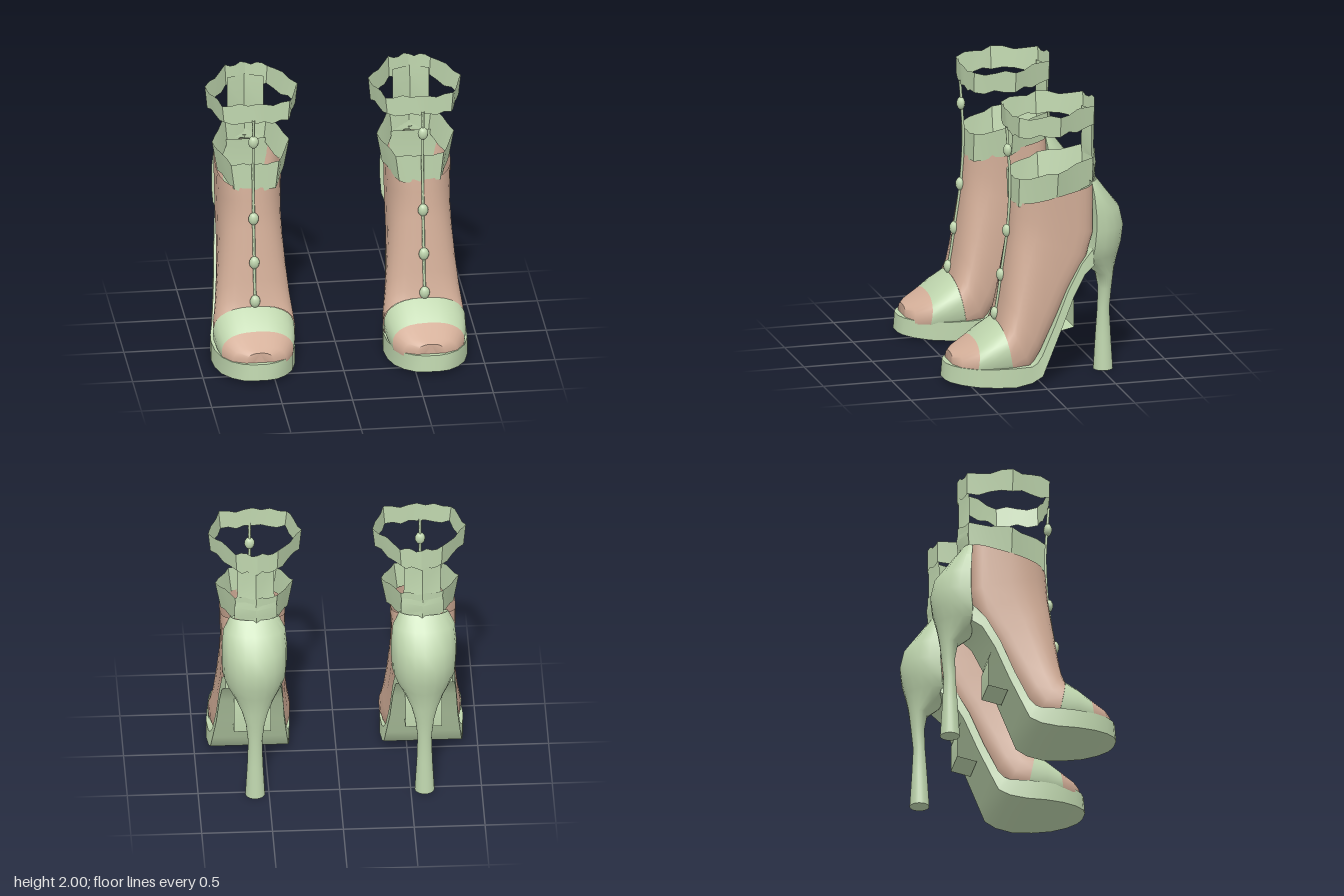
import * as THREE from 'three';
import { toCreasedNormals } from 'three/addons/utils/BufferGeometryUtils.js';

const mat = (name, color) => {
  const m = new THREE.MeshStandardMaterial({ color, side: THREE.DoubleSide });
  m.name = name;
  return m;
};

// Joins rings of points into a skin; caps close the ends
function loft(rings, { closed = true, capStart = false, capEnd = false, crease = 0.7 } = {}) {
  const n = rings[0].length, pos = [], idx = [];
  rings.forEach(r => r.forEach(p => pos.push(...p)));
  for (let i = 0; i < rings.length - 1; i++) {
    for (let j = 0; j < (closed ? n : n - 1); j++) {
      const a = i * n + j, b = i * n + (j + 1) % n;
      idx.push(a, b, a + n, b, b + n, a + n);
    }
  }
  const cap = (start, flip) => {
    for (let j = 1; j < n - 1; j++) {
      idx.push(start, start + (flip ? j + 1 : j), start + (flip ? j : j + 1));
    }
  };
  if (capStart) cap(0, true);
  if (capEnd) cap((rings.length - 1) * n, false);
  const g = new THREE.BufferGeometry();
  g.setAttribute('position', new THREE.Float32BufferAttribute(pos, 3));
  g.setIndex(idx);
  return toCreasedNormals(g, crease);
}

// Tilted ring between a front point and a back point; e squares off the back half
function upperRing([fz, fy, bz, by, w, e]) {
  return Array.from({ length: 28 }, (_, j) => {
    const t = j / 28 * Math.PI * 2, c = Math.cos(t), s = Math.sin(t);
    const k = c < 0 ? e : 0.8;
    const u = Math.sign(c) * Math.abs(c) ** (c < 0 ? e : 0.9);
    const v = Math.sign(s) * Math.abs(s) ** k;
    return [v * w, (fy + by) / 2 + u * (fy - by) / 2, (fz + bz) / 2 + u * (fz - bz) / 2];
  });
}

// Horizontal heel ring, with separate depths in front of and behind its widest line
function heelRing([y, zc, zb, zf, w]) {
  return Array.from({ length: 20 }, (_, j) => {
    const t = j / 20 * Math.PI * 2, s = Math.sin(t);
    return [Math.cos(t) * w, y, zc + s * (s > 0 ? zf - zc : zc - zb)];
  });
}

// Thin faceted strap around the ankle with ragged edges
function raggedBand(half, low, high, lowScale, rag) {
  const loop = [...half, ...half.slice(1, -1).reverse().map(([x, z]) => [-x, z])];
  const bottom = [], top = [];
  loop.forEach(([x, z], i) => {
    const [x2, z2] = loop[(i + 1) % loop.length];
    for (let k = 0; k < 4; k++) {
      const px = x + (x2 - x) * k / 4, pz = z + (z2 - z) * k / 4, n = i * 4 + k;
      bottom.push([px * lowScale, low(pz) + rag * Math.sin(n * 2.3), pz]);
      top.push([px, high(pz) + rag * Math.sin(n * 1.9 + 1), pz]);
    }
  });
  return loft([bottom, top], { crease: 0.4 });
}

// Upper sections: front z, front y, back z, back y, half width, squareness
const UPPER = [
  [0.61, 0.22, 0.61, 0.08, 0.10, 0.75], [0.56, 0.245, 0.57, 0.05, 0.19, 0.75],
  [0.44, 0.31, 0.48, 0.04, 0.255, 0.75], [0.36, 0.375, 0.34, 0.04, 0.28, 0.75],
  [0.275, 0.43, 0.20, 0.04, 0.29, 0.7], [0.26, 0.5, 0.06, 0.08, 0.283, 0.65],
  [0.24, 0.62, -0.02, 0.2, 0.265, 0.6], [0.215, 0.8, -0.12, 0.4, 0.245, 0.55],
  [0.185, 1.0, -0.24, 0.66, 0.228, 0.45], [0.172, 1.1, -0.36, 0.88, 0.224, 0.4],
  [0.165, 1.2, -0.41, 1.06, 0.224, 0.4], [0.155, 1.29, -0.41, 1.42, 0.23, 0.4],
].map(upperRing);

// Sole sections: top z, top y, bottom z, bottom y, half width
const SOLE = [
  [0.65, 0.15, 0.66, 0.03, 0.05], [0.625, 0.148, 0.635, 0.025, 0.12],
  [0.57, 0.145, 0.57, 0.018, 0.19], [0.47, 0.14, 0.47, 0.01, 0.25],
  [0.34, 0.14, 0.34, 0.004, 0.285], [0.2, 0.14, 0.2, 0, 0.295],
  [0.08, 0.14, 0.08, 0.02, 0.285], [0.04, 0.16, 0.0, 0.06, 0.275],
  [0.0, 0.21, -0.05, 0.17, 0.262], [-0.1, 0.42, -0.14, 0.37, 0.24],
  [-0.2, 0.66, -0.24, 0.61, 0.225], [-0.3, 0.84, -0.33, 0.77, 0.21],
  [-0.39, 0.94, -0.40, 0.82, 0.19],
].map(([tz, ty, bz, by, w]) => [[-w, ty, tz], [w, ty, tz], [w, by, bz], [-w, by, bz]]);

// Heel sections: y, widest z, back z, front z, half width
const HEEL = [
  [1.43, -0.39, -0.455, -0.385, 0.17], [1.33, -0.40, -0.53, -0.395, 0.218],
  [1.2, -0.41, -0.63, -0.40, 0.23], [1.07, -0.41, -0.66, -0.40, 0.23],
  [0.95, -0.40, -0.645, -0.385, 0.222], [0.86, -0.39, -0.622, -0.345, 0.19],
  [0.79, -0.45, -0.606, -0.37, 0.14], [0.71, -0.52, -0.592, -0.465, 0.095],
  [0.6, -0.53, -0.58, -0.485, 0.066], [0.45, -0.52, -0.565, -0.48, 0.05],
  [0.25, -0.52, -0.575, -0.465, 0.056], [0, -0.52, -0.59, -0.45, 0.07],
].map(heelRing);

const COLLAR = [[0, 0.155], [0.17, 0.135], [0.275, -0.12], [0.15, -0.41], [0, -0.465]];
const CUFF = [[0, 0.185], [0.24, 0.155], [0.33, -0.125], [0.15, -0.42], [0, -0.465]];
const LACE = [[0.28, 0.43], [0.25, 0.6], [0.225, 0.78], [0.192, 1.0], [0.172, 1.2],
  [0.163, 1.45], [0.172, 1.62], [0.186, 1.83]];
const BEADS = [[0.275, 0.47], [0.232, 0.75], [0.188, 1.07], [0.18, 1.66]];

function createBoot(side, green, peach) {
  const boot = new THREE.Group();
  boot.name = side > 0 ? 'leftBoot' : 'rightBoot';
  const add = (name, geometry, material, x) => {
    const m = new THREE.Mesh(geometry, material);
    m.name = name;
    m.position.x = side * x;
    boot.add(m);
    return m;
  };

  // Foot and ankle
  add('toe', loft(UPPER.slice(0, 3), { capStart: true }), peach, 0.607);
  add('vampBand', loft(UPPER.slice(2, 5)), green, 0.607);
  add('shaft', loft(UPPER.slice(4)), peach, 0.602);

  // Platform sole rising into the arch, and the heel
  add('sole', loft(SOLE, { capStart: true, capEnd: true }), green, 0.612);
  add('heel', loft(HEEL, { capEnd: true }), green, 0.598);

  // Folded sheet under the arch
  const fold = [[-0.23, 0.68], [-0.27, 0.55], [-0.27, 0.36], [-0.13, 0.33]];
  add('archFold', loft(fold.map(([z, y]) => [[-0.13, y, z], [0.13, y, z]]),
    { closed: false, crease: 0.3 }), green, 0.605);

  // Collar, cuff and the strap joining them
  add('collar', raggedBand(COLLAR, z => 1.27 + (0.15 - z) * 0.22,
    z => 1.475 + (0.15 - z) * 0.23, 0.86, 0.008), green, 0.585);
  add('cuff', raggedBand(CUFF, z => 1.805 + (0.15 - z) * 0.04,
    z => 1.945 + (0.18 - z) * 0.065, 0.95, 0.013), green, 0.58);
  const strap = [1.42, 1.52, 1.62, 1.9].map((y, i) => {
    const z = [0, -0.012, 0.005, 0][i], w = [0.15, 0.15, 0.13, 0.13][i];
    return [[-w, y, -0.405 + z], [0, y, -0.46 + z], [w, y, -0.405 + z]];
  });
  add('backStrap', loft(strap, { closed: false }), green, 0.588);

  // Front lace and beads
  const path = new THREE.CatmullRomCurve3(LACE.map(([z, y]) => new THREE.Vector3(0, y, z)));
  add('lace', new THREE.TubeGeometry(path, 28, 0.01, 6), green, 0.602);
  BEADS.forEach(([z, y]) => {
    const bead = add('bead', new THREE.SphereGeometry(1, 10, 8), green, 0.602);
    bead.scale.set(0.037, 0.047, 0.03);
    bead.position.y = y;
    bead.position.z = z;
  });
  return boot;
}

export function createModel() {
  const model = new THREE.Group();
  model.name = 'bootPair';
  const green = mat('sageGreen', 0xbfd6ae);
  const peach = mat('softPeach', 0xd3ae98);
  for (const side of [1, -1]) model.add(createBoot(side, green, peach));
  return model;
}
